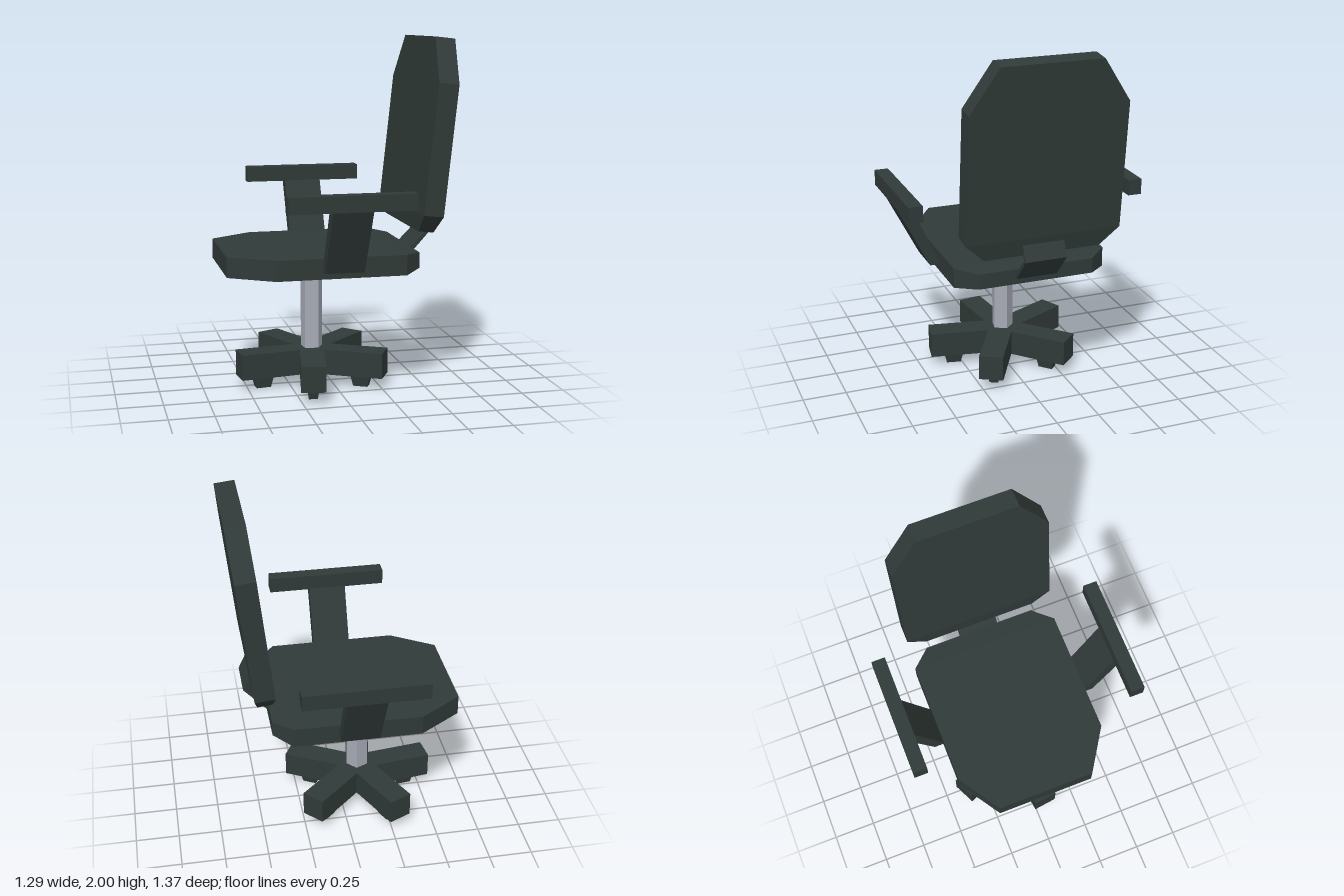
import * as THREE from 'three';

const dark = new THREE.MeshStandardMaterial({ color: 0x303a38 });
dark.name = 'dark upholstery';
const metal = new THREE.MeshStandardMaterial({ color: 0xa6aab5 });
metal.name = 'grey metal';

// Faceted mesh with a name
function part(name, geometry, material = dark) {
  const g = geometry.index ? geometry.toNonIndexed() : geometry;
  g.computeVertexNormals();
  const mesh = new THREE.Mesh(g, material);
  mesh.name = name;
  return mesh;
}

function extrude(points, depth) {
  const shape = new THREE.Shape(points.map(([a, b]) => new THREE.Vector2(a, b)));
  return new THREE.ExtrudeGeometry(shape, { depth, bevelEnabled: false });
}

// Chamfered slab, shaped from a box: each station is [x, halfWidth, bottom, top]
function cushion() {
  const stations = [
    [-0.645, 0.285, 0.705, 0.82],
    [-0.4, 0.445, 0.705, 0.82],
    [0.33, 0.445, 0.705, 0.82],
    [0.435, 0.335, 0.72, 0.808],
  ];
  const g = new THREE.BoxGeometry(1, 1, 1, 3, 1, 1);
  const p = g.attributes.position;
  for (let i = 0; i < p.count; i++) {
    const [x, half, low, high] = stations[Math.round((p.getX(i) + 0.5) * 3)];
    p.setXYZ(i, x, p.getY(i) > 0 ? high : low, Math.sign(p.getZ(i)) * half);
  }
  return g;
}

export function createModel() {
  const chair = new THREE.Group();
  chair.name = 'officeChair';

  // Seat, and the backrest as the same cushion stood on end and leaned back
  chair.add(part('seat', cushion()));
  const back = part('backrest', cushion());
  back.rotation.z = -THREE.MathUtils.degToRad(96.1);
  back.position.set(-0.243, 1.436, 0);
  chair.add(back);

  // Bent strip joining seat and backrest
  const strip = extrude([
    [0.42, 0.75], [0.437, 0.75], [0.57, 0.896], [0.53, 0.982],
    [0.515, 0.973], [0.55, 0.9], [0.42, 0.77],
  ], 0.24);
  strip.translate(0, 0, -0.12);
  chair.add(part('backBracket', strip));

  // Armrests: flat pad on a leaning support
  for (const s of [1, -1]) {
    const arm = new THREE.Group();
    arm.name = s > 0 ? 'frontArmrest' : 'rearArmrest';
    const pad = new THREE.BoxGeometry(0.695, 0.09, 0.08);
    pad.translate(-0.0325, 1.15, s * 0.645);
    const support = extrude(
      [[0.435, 0.747], [0.5, 0.747], [0.685, 1.107], [0.605, 1.107]].map(([z, y]) => [s * z, y]), 0.22);
    support.rotateY(-Math.PI / 2);
    support.translate(0.075, 0, 0);
    arm.add(part('armPad', pad), part('armSupport', support));
    chair.add(arm);
  }

  // Pedestal, turned so one arm points along angle `start` (from +x towards +z)
  const base = new THREE.Group();
  base.name = 'pedestal';
  base.position.x = -0.112;
  chair.add(base);
  const start = THREE.MathUtils.degToRad(28.7);
  const step = (Math.PI * 2) / 5;

  // Five-sided column
  const corners = [];
  for (let i = 0; i < 5; i++) {
    const a = start + (i + 0.5) * step;
    corners.push([0.065 * Math.cos(a), 0.065 * Math.sin(a)]);
  }
  const column = extrude(corners, 0.55);
  column.rotateX(Math.PI / 2);
  column.translate(0, 0.73, 0);
  base.add(part('column', column, metal));

  // Five-armed foot with a tapered caster under each arm
  const reach = 0.439, half = 0.07, outline = [];
  for (let i = 0; i < 5; i++) {
    const a = start + i * step, c = Math.cos(a), s = Math.sin(a);
    const notch = half / Math.sin(step / 2);
    outline.push(
      [reach * c + half * s, reach * s - half * c],
      [reach * c - half * s, reach * s + half * c],
      [notch * Math.cos(a + step / 2), notch * Math.sin(a + step / 2)]);

    const caster = new THREE.CylinderGeometry(Math.SQRT2, Math.SQRT2 * 0.7, 0.075, 4);
    caster.rotateY(Math.PI / 4);
    caster.scale(0.06, 1, 0.036);
    const mesh = part('caster', caster);
    mesh.position.set(0.3 * c, 0.0375, 0.3 * s);
    mesh.rotation.y = -a;
    base.add(mesh);
  }
  const foot = extrude(outline, 0.147);
  foot.rotateX(Math.PI / 2);
  foot.translate(0, 0.215, 0);
  base.add(part('starFoot', foot));

  return chair;
}
